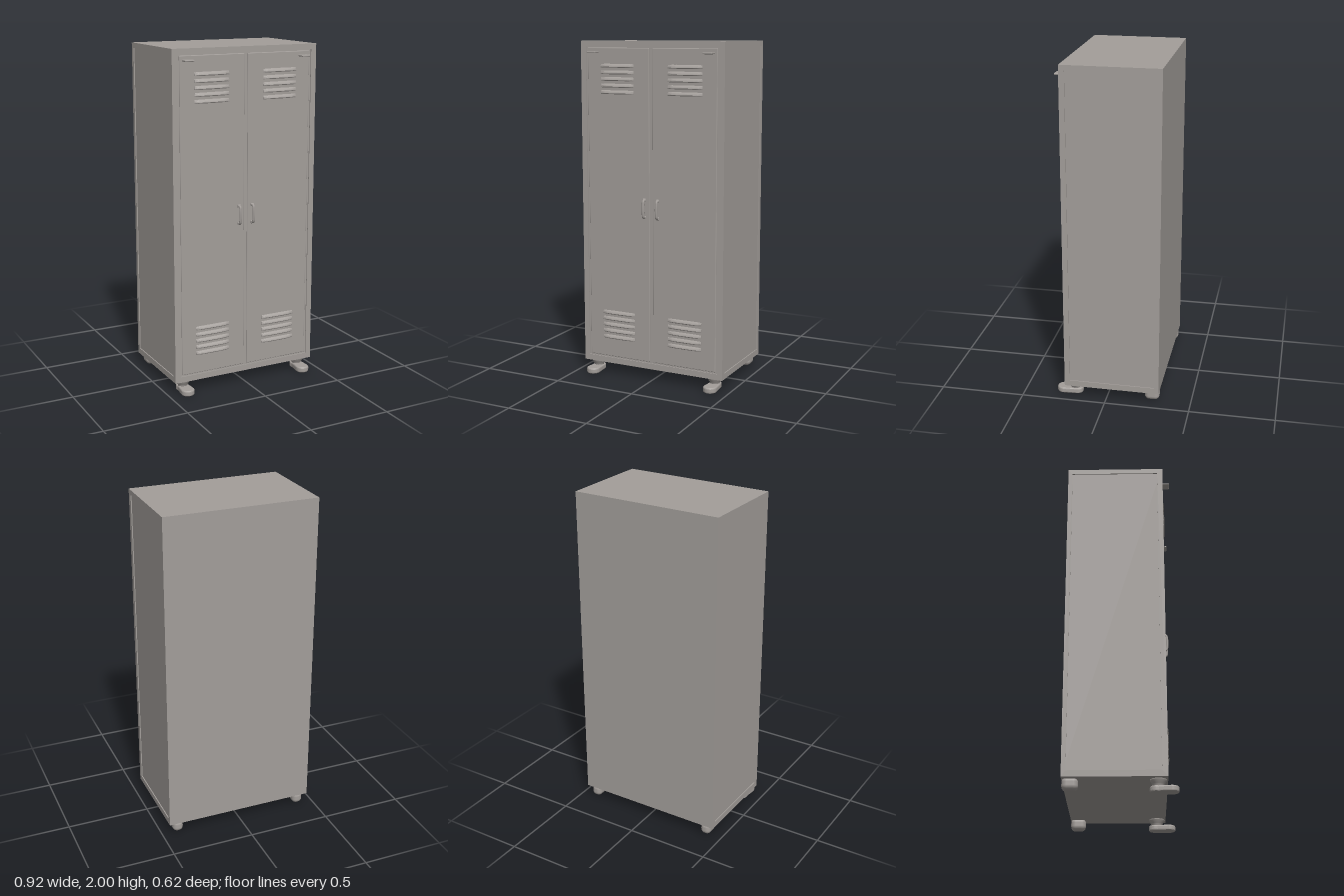
import * as THREE from 'three';
import { RoundedBoxGeometry } from 'three/addons/geometries/RoundedBoxGeometry.js';

const paint = new THREE.MeshStandardMaterial({ color: 0xa39e9a });
paint.name = 'warm grey paint';

const BOTTOM = 0.07, TOP = 2, HALF_W = 0.458, FRONT = 0.25, BACK = -0.315, LIP = 0.006;

function add(parent, name, geometry, x = 0, y = 0, z = 0) {
  const mesh = new THREE.Mesh(geometry, paint);
  mesh.name = name;
  mesh.position.set(x, y, z);
  parent.add(mesh);
  return mesh;
}

function trace(path, [x0, y0, x1, y1]) {
  path.moveTo(x0, y0);
  path.lineTo(x1, y0);
  path.lineTo(x1, y1);
  path.lineTo(x0, y1);
  path.closePath();
  return path;
}

// Flat rim with rectangular openings
function rim(outer, openings) {
  const shape = trace(new THREE.Shape(), outer);
  openings.forEach(o => shape.holes.push(trace(new THREE.Path(), o)));
  return new THREE.ExtrudeGeometry(shape, { depth: LIP, bevelEnabled: false });
}

// One pressed vent slat: a hood that slopes out and tucks back underneath
function slatGeometry(width) {
  const s = new THREE.Shape();
  s.moveTo(0, 0.014);
  s.quadraticCurveTo(0.012, 0.008, 0.015, -0.004);
  s.lineTo(0.012, -0.009);
  s.lineTo(0, -0.009);
  s.closePath();
  const g = new THREE.ExtrudeGeometry(s, { depth: width, bevelEnabled: false, curveSegments: 5, steps: 8 });
  g.translate(0, 0, -width / 2);
  g.rotateY(-Math.PI / 2);
  // Flatten the hood towards its ends
  const p = g.attributes.position;
  for (let i = 0; i < p.count; i++) {
    const t = Math.abs(p.getX(i)) / (width / 2);
    p.setZ(i, p.getZ(i) * (1 - 0.6 * t ** 4));
  }
  g.computeVertexNormals();
  return g;
}

// Splayed foot outline: narrow heel, round toe
function soleGeometry() {
  const s = new THREE.Shape();
  s.absarc(0, 0.268, 0.034, 0, Math.PI, false);
  s.lineTo(-0.026, 0.2);
  s.absarc(0, 0.185, 0.028, Math.PI, Math.PI * 2, false);
  s.closePath();
  const g = new THREE.ExtrudeGeometry(s, {
    depth: 0.016, bevelEnabled: true, bevelThickness: 0.009, bevelSize: 0.008, bevelOffset: -0.002, bevelSegments: 3, curveSegments: 12,
  });
  g.rotateX(Math.PI / 2);
  return g;
}

export function createModel() {
  const model = new THREE.Group();
  model.name = 'locker';

  // Cabinet shell
  const h = TOP - BOTTOM, midY = (TOP + BOTTOM) / 2;
  const coreFront = FRONT - LIP;
  add(model, 'cabinet', new THREE.BoxGeometry(2 * (HALF_W - LIP), h, coreFront - BACK), 0, midY, (coreFront + BACK) / 2);

  // Raised rims around the sides and the door opening
  for (const side of [-1, 1]) {
    const g = rim([BACK, BOTTOM, FRONT, TOP], [[-0.29, 0.105, 0.218, 1.97]]);
    g.rotateY(-Math.PI / 2);
    add(model, side > 0 ? 'leftSideRim' : 'rightSideRim', g, side > 0 ? HALF_W : -HALF_W + LIP);
  }
  const inner = HALF_W - LIP;
  add(model, 'frontRim', rim([-inner, BOTTOM, inner, TOP], [[-0.425, 0.105, 0.425, 1.97]]), 0, 0, coreFront);

  const sole = soleGeometry();
  const slat = slatGeometry(0.215);

  for (const side of [-1, 1]) {
    const half = new THREE.Group();
    half.name = side > 0 ? 'leftHalf' : 'rightHalf';
    model.add(half);

    // Door panel with a narrow seam around it
    add(half, 'door', new RoundedBoxGeometry(0.403, 1.848, 0.012, 2, 0.004), side * 0.212, 1.0375, coreFront - 0.001);

    // Vent slats, five at the top and five at the bottom
    for (const base of [0.235, 1.705]) {
      for (let i = 0; i < 5; i++) add(half, 'ventSlat', slat, side * 0.217, base + i * 0.038, FRONT - 0.003);
    }

    // Door pull
    const pull = new THREE.CatmullRomCurve3([
      [0.985, 0.243], [0.99, 0.263], [1.01, 0.268], [1.065, 0.268], [1.085, 0.263], [1.09, 0.243],
    ].map(([y, z]) => new THREE.Vector3(0, y, z)));
    add(half, 'handle', new THREE.TubeGeometry(pull, 24, 0.008, 8), side * 0.043);
    for (const y of [0.986, 1.089]) {
      add(half, 'handleMount', new RoundedBoxGeometry(0.02, 0.018, 0.014, 2, 0.005), side * 0.043, y, 0.25);
    }

    // Small tab near the top corner
    add(half, 'topTab', new RoundedBoxGeometry(0.058, 0.01, 0.048, 2, 0.004), side * 0.368, 1.935, 0.266);

    // Front foot: splayed sole, ankle and collar
    const foot = new THREE.Group();
    foot.name = 'frontFoot';
    foot.position.x = side * 0.39;
    half.add(foot);
    add(foot, 'sole', sole, 0, 0.025, 0);
    const ankle = [[0, 0.02], [0.03, 0.02], [0.028, 0.038], [0.036, 0.046], [0.038, 0.056], [0.045, 0.064], [0.045, 0.072], [0, 0.072]];
    add(foot, 'ankle', new THREE.LatheGeometry(ankle.map(p => new THREE.Vector2(...p)), 20), 0, 0, 0.198);

    // Rear foot: rounded block
    add(half, 'rearFoot', new RoundedBoxGeometry(0.065, 0.075, 0.088, 4, 0.028), side * 0.4, 0.045, -0.27);
  }
  return model;
}
